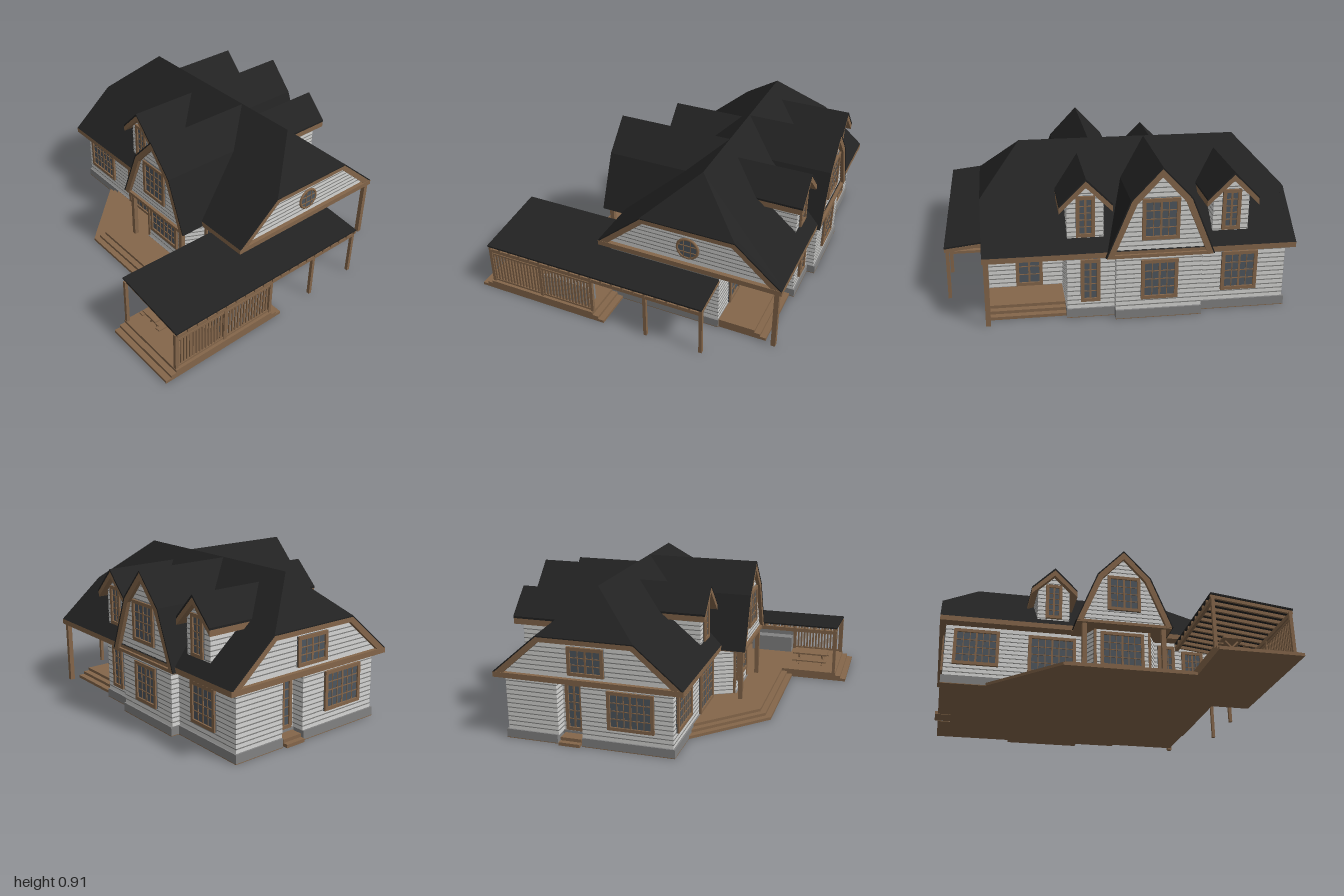
import * as THREE from 'three';
import { mergeGeometries } from 'three/addons/utils/BufferGeometryUtils.js';
import { ConvexGeometry } from 'three/addons/geometries/ConvexGeometry.js';

const material = (name, color) => Object.assign(new THREE.MeshStandardMaterial({ color }), { name });
const ROOF = material('roof black', 0x222222);
const WALL = material('siding white', 0xd6d6d4);
const GROOVE = material('siding groove grey', 0x858583);
const WOOD = material('wood brown', 0x84664a);
const GLASS = material('glass blue grey', 0x4e565e);
const STONE = material('foundation grey', 0x828282);
const RIDGE_Z = -0.355;

function add(parent, name, geometry, mat) {
  const mesh = new THREE.Mesh(geometry, mat);
  mesh.name = name;
  parent.add(mesh);
  return mesh;
}
// Box given by its minimum and maximum corners
function boxGeo(x0, x1, y0, y1, z0, z1) {
  return new THREE.BoxGeometry(x1 - x0, y1 - y0, z1 - z0).translate((x0 + x1) / 2, (y0 + y1) / 2, (z0 + z1) / 2);
}
const box = (parent, name, mat, ...b) => add(parent, name, boxGeo(...b), mat);
function group(parent, name, x, y, z, ry = 0) {
  const g = new THREE.Group();
  g.name = name;
  g.position.set(x, y, z);
  g.rotation.y = ry;
  parent.add(g);
  return g;
}
// Outline in x,y extruded from z0 to z1
function prismGeo(pts, z0, z1) {
  const shape = new THREE.Shape(pts.map(p => new THREE.Vector2(p[0], p[1])));
  return new THREE.ExtrudeGeometry(shape, { depth: z1 - z0, bevelEnabled: false }).translate(0, 0, z0);
}
// Plan outline in x,z extruded from y0 to y1
const slabGeo = (pts, y0, y1) => prismGeo(pts.map(([x, z]) => [x, -z]), y0, y1).rotateX(-Math.PI / 2);
// Half outline (top to bottom) mirrored to a full one
const mirror = half => [...half.map(([x, y]) => [-x, y]).reverse(), ...half];
const bandGeo = (outer, inner, z0, z1) => prismGeo([...mirror(outer), ...mirror(inner).reverse()], z0, z1);
const lerpHalf = (a, b, t) => a.map((p, i) => [p[0] + (b[i][0] - p[0]) * t, p[1] + (b[i][1] - p[1]) * t]);
// Half width of a mirrored outline at height y
function halfWidth(half, y) {
  for (let i = 1; i < half.length; i++) {
    const [x0, y0] = half[i - 1], [x1, y1] = half[i];
    if (y <= y0 && y >= y1) return x0 + (x1 - x0) * (y0 - y) / (y0 - y1 || 1);
  }
  return 0;
}

// Framed window or door facing +z with a grid of panes
function windowUnit(parent, name, x, y, z, w, h, cols, rows, ry = 0) {
  const g = group(parent, name, x, y, z, ry), f = 0.02, W = w / 2, H = h / 2;
  box(g, 'glass', GLASS, -W, W, -H, H, 0, 0.006);
  const bars = [];
  for (const s of [-1, 1]) {
    bars.push(new THREE.BoxGeometry(f, h, 0.016).translate(s * (W - f / 2), 0, 0.008));
    bars.push(new THREE.BoxGeometry(w, f, 0.016).translate(0, s * (H - f / 2), 0.008));
  }
  for (let i = 1; i < cols; i++) {
    const thick = i * 2 === cols ? 0.012 : 0.005;
    bars.push(new THREE.BoxGeometry(thick, h, 0.01).translate(-W + f + (w - 2 * f) * i / cols, 0, 0.005));
  }
  for (let j = 1; j < rows; j++) bars.push(new THREE.BoxGeometry(w, 0.005, 0.01).translate(0, -H + f + (h - 2 * f) * j / rows, 0.005));
  add(g, 'frame', mergeGeometries(bars), WOOD);
}

// Sided gable end facing +z with rake trim and roof skin overhang
function gableFace(g, outer, inner, z, over) {
  const skin = lerpHalf(outer, inner, 0.18), lines = [];
  add(g, 'gableSiding', prismGeo(mirror(lerpHalf(outer, inner, 0.6)), z, z + 0.004), WALL);
  for (let y = inner.at(-1)[1] + 0.028; y < inner[0][1] - 0.01; y += 0.028) {
    const w = halfWidth(inner, y);
    lines.push(boxGeo(-w, w, y, y + 0.006, z, z + 0.006));
  }
  add(g, 'sidingGrooves', mergeGeometries(lines), GROOVE);
  add(g, 'rakeTrim', bandGeo(skin, inner, z, z + over - 0.002), WOOD);
  add(g, 'roofEdge', bandGeo(outer, skin, z, z + over), ROOF);
}

// Projecting gambrel cross gable
function crossGable(house, name, x, ry, front) {
  const g = group(house, name, x, 0, RIDGE_Z, ry), wall = front - 0.03;
  const outer = [[0, 0.908], [0.172, 0.725], [0.308, 0.39]], inner = [[0, 0.85], [0.137, 0.7], [0.265, 0.39]];
  add(g, 'gableRoof', prismGeo(mirror(outer), 0, wall), ROOF);
  gableFace(g, outer, inner, wall, 0.03);
  box(g, 'gableSoffit', WOOD, -0.3, 0.3, 0.383, 0.402, 0.45, front - 0.006);
  windowUnit(g, 'gableWindow', 0, 0.605, wall + 0.004, 0.21, 0.24, 4, 4);
}

// Small dormer with pitched roof
function dormer(house, name, x, ry) {
  const g = group(house, name, x, 0, RIDGE_Z, ry), edge = 0.54, wall = 0.5;
  const outer = [[0, 0.842], [0.148, 0.692]], skin = [[0, 0.828], [0.148, 0.68]], inner = [[0, 0.79], [0.148, 0.645]];
  const body = [[0, 0.8], [0.102, 0.69], [0.102, 0.42]], lines = [];
  add(g, 'dormerWalls', prismGeo(mirror(body), 0.2, wall), WALL);
  for (let y = 0.49; y < 0.78; y += 0.028) {
    const w = halfWidth(body, y) + 0.002;
    lines.push(boxGeo(-w, w, y, y + 0.006, 0.2, wall + 0.002));
  }
  add(g, 'sidingGrooves', mergeGeometries(lines), GROOVE);
  add(g, 'dormerRoof', bandGeo(outer, skin, 0.05, edge), ROOF);
  add(g, 'dormerFascia', bandGeo(skin, inner, 0.12, edge - 0.002), WOOD);
  windowUnit(g, 'dormerWindow', 0, 0.612, wall, 0.105, 0.24, 2, 5);
}

function buildWalls(house) {
  const plan = [[-0.96, 0.15], [-0.115, 0.15], [-0.05, 0.28], [0.295, 0.28], [0.36, 0.15], [0.74, 0.15], [0.74, -0.55], [0.3, -0.55],
    [0.3, -0.87], [0.03, -0.87], [0.03, -0.92], [-0.46, -0.92], [-0.46, -0.87], [-0.96, -0.87], [-0.96, -0.55], [-0.88, -0.55], [-0.88, -0.4], [-0.96, -0.4]];
  const wide = plan.map(([x, z]) => [-0.11 + (x + 0.11) * 1.012, -0.36 + (z + 0.36) * 1.02]);
  add(house, 'basePlate', slabGeo(wide, 0, 0.004), WOOD);
  add(house, 'foundation', slabGeo(wide, 0.004, 0.055), STONE);
  add(house, 'walls', slabGeo(plan, 0.05, 0.395), WALL);
  const lines = [];
  plan.forEach(([x, z], i) => {
    const [x2, z2] = plan[(i + 1) % plan.length], len = Math.hypot(x2 - x, z2 - z);
    for (let y = 0.08; y < 0.385; y += 0.028) {
      lines.push(new THREE.BoxGeometry(len, 0.006, 0.004).rotateY(Math.atan2(z - z2, x2 - x)).translate((x + x2) / 2, y, (z + z2) / 2));
    }
  });
  add(house, 'sidingGrooves', mergeGeometries(lines), GROOVE);
  for (const x of [-0.05, 0.295]) box(house, 'bayCornerBoard', WOOD, x - 0.008, x + 0.008, 0.05, 0.39, 0.272, 0.286);
  // Windows and doors: x, y, z, width, height, columns, rows, turn
  const B = Math.PI, L = -Math.PI / 2;
  [['frontWindow', -0.77, 0.247, 0.15, 0.28, 0.235, 6, 4, 0], ['frontDoor', -0.3, 0.205, 0.15, 0.3, 0.305, 6, 5, 0],
    ['bayWindow', 0.12, 0.247, 0.28, 0.275, 0.235, 6, 4, 0], ['sideDoor', 0.437, 0.205, 0.15, 0.11, 0.305, 3, 5, 0],
    ['porchWindow', 0.61, 0.245, 0.15, 0.14, 0.17, 4, 3, 0], ['backWindow', -0.69, 0.24, -0.87, 0.21, 0.24, 4, 4, B],
    ['backBayWindow', -0.215, 0.24, -0.92, 0.21, 0.24, 4, 4, B], ['narrowBackWindow', 0.17, 0.23, -0.87, 0.11, 0.26, 2, 5, B],
    ['backDoor', 0.5, 0.21, -0.55, 0.16, 0.3, 2, 5, B], ['leftWindow', -0.96, 0.247, -0.1, 0.28, 0.235, 6, 4, L],
    ['leftDoor', -0.88, 0.21, -0.475, 0.11, 0.3, 2, 5, L]].forEach(w => windowUnit(house, ...w));
}

function buildRoof(house) {
  box(house, 'eaveFascia', WOOD, -1, 0.77, 0.388, 0.42, -0.93, 0.22);
  const pts = [];
  const at = (x, y, h) => [new THREE.Vector3(x, y, RIDGE_Z - h), new THREE.Vector3(x, y, RIDGE_Z + h)];
  for (const x of [-0.97, 0.74]) pts.push(...at(x, 0.42, 0.575), ...at(x, 0.692, 0.255));
  pts.push(new THREE.Vector3(-0.76, 0.91, RIDGE_Z), new THREE.Vector3(0.53, 0.91, RIDGE_Z));
  add(house, 'mainRoof', new ConvexGeometry(pts), ROOF);
  // Half-hipped ends
  for (const [x, s, name] of [[-0.97, -1, 'leftGable'], [0.74, 1, 'rightGable']]) {
    add(house, 'hipEdge', new ConvexGeometry([...at(x, 0.692, 0.255), ...at(x, 0.66, 0.293), ...at(x + s * 0.03, 0.66, 0.293)]), ROOF);
    const g = group(house, name, x, 0, RIDGE_Z, s * Math.PI / 2);
    gableFace(g, [[0.293, 0.66], [0.575, 0.42]], [[0.275, 0.625], [0.51, 0.42]], 0, 0.03);
    if (s < 0) windowUnit(g, 'gableWindow', 0, 0.525, 0.004, 0.22, 0.17, 4, 3);
    else {
      const w = group(g, 'roundWindow', 0, 0.52, 0.006);
      add(w, 'glass', new THREE.CylinderGeometry(0.064, 0.064, 0.008, 32).rotateX(Math.PI / 2), GLASS);
      add(w, 'frame', new THREE.TorusGeometry(0.064, 0.009, 8, 32), WOOD);
      for (const k of [-0.022, 0.022]) {
        box(w, 'muntin', WOOD, k - 0.0025, k + 0.0025, -0.06, 0.06, 0, 0.008);
        box(w, 'muntin', WOOD, -0.06, 0.06, k - 0.0025, k + 0.0025, 0, 0.008);
      }
    }
  }
  crossGable(house, 'frontGable', 0.12, 0, 0.73);
  crossGable(house, 'backGable', -0.215, Math.PI, 0.595);
  dormer(house, 'frontDormer', -0.295, 0);
  for (const x of [-0.63, 0.195]) dormer(house, 'backDormer', x, Math.PI);
}

function buildDecks(house) {
  for (let k = 0; k < 3; k++) {
    const d = k * 0.036, y0 = k * 0.018, y1 = y0 + 0.018;
    add(house, 'terraceStep', slabGeo([[-0.71 + 1.414 * d, 0.15], [-0.29 + 0.414 * d, 0.57 - d], [0.5, 0.57 - d], [0.5, 0.15]], y0, y1), WOOD);
    box(house, 'pergolaDeckStep', WOOD, 0.5, 0.995, y0, y1, 0.08 + d, 0.945 - d);
    box(house, 'backPorchStep', WOOD, 0.3, 0.74, y0, y1, -0.85 + d, -0.55);
  }
  box(house, 'leftDoorStep', WOOD, -0.96, -0.88, 0, 0.04, -0.54, -0.41);
  box(house, 'leftLowerStep', WOOD, -0.99, -0.96, 0, 0.02, -0.54, -0.41);
  for (const x of [-0.13, 0.37]) box(house, 'gablePost', WOOD, x - 0.014, x + 0.014, 0.05, 0.39, 0.325, 0.353);
  box(house, 'backPorchPost', WOOD, 0.735, 0.763, 0, 0.39, -0.915, -0.887);
}

function buildPergola(house) {
  const g = group(house, 'pergola', 0, 0, 0);
  const top = x => 0.387 - (x - 0.5) * 0.116;
  // Sloped strip lying a given depth below the roof plane
  const strip = (name, mat, x0, d0, d1, z0, z1) => add(g, name,
    prismGeo([[x0, top(x0) - d0], [0.993, top(0.993) - d0], [0.993, top(0.993) - d1], [x0, top(x0) - d1]], z0, z1), mat);
  strip('pergolaRoof', ROOF, 0.5, 0, 0.01, 0.15, 0.87);
  strip('pergolaRoof', ROOF, 0.74, 0, 0.01, -0.55, 0.15);
  for (let i = 0; i <= 20; i++) {
    const z = 0.855 - i * 0.07;
    strip('rafter', WOOD, z > 0.15 ? 0.5 : 0.74, 0.01, 0.03, z - 0.007, z + 0.007);
  }
  box(g, 'outerBeam', WOOD, 0.965, 0.985, 0.278, 0.302, -0.55, 0.87);
  box(g, 'innerBeam', WOOD, 0.502, 0.522, 0.335, 0.36, 0.15, 0.868);
  for (const z of [0.86, 0.51, 0.16, -0.19, -0.54]) box(g, 'post', WOOD, 0.965, 0.985, z > 0.1 ? 0.05 : 0, 0.31, z - 0.01, z + 0.01);
  box(g, 'innerPost', WOOD, 0.502, 0.522, 0.05, 0.36, 0.85, 0.87);
  // Slatted fence
  const slats = [boxGeo(0.968, 0.982, 0.06, 0.072, 0.16, 0.86), boxGeo(0.968, 0.982, 0.258, 0.27, 0.16, 0.86)];
  for (let z = 0.18; z < 0.85; z += 0.022) slats.push(boxGeo(0.971, 0.979, 0.06, 0.265, z, z + 0.012));
  add(g, 'slatFence', mergeGeometries(slats), WOOD);
  // Outdoor grill
  box(g, 'grillCounter', STONE, 0.87, 0.962, 0.054, 0.165, 0.2, 0.5);
  box(g, 'grillBack', STONE, 0.945, 0.964, 0.165, 0.205, 0.2, 0.5);
  // Picnic table with crossed legs and benches
  const t = group(g, 'picnicTable', 0.645, 0.054, 0.68);
  box(t, 'tableTop', WOOD, -0.06, 0.06, 0.088, 0.098, -0.12, 0.12);
  for (const s of [-1, 1]) {
    box(t, 'bench', WOOD, s * 0.08 - 0.016, s * 0.08 + 0.016, 0.048, 0.056, -0.12, 0.12);
    box(t, 'crossBar', WOOD, -0.09, 0.09, 0.04, 0.048, s * 0.09 - 0.004, s * 0.09 + 0.004);
    for (const k of [-1, 1]) {
      const leg = box(t, 'leg', WOOD, -0.005, 0.005, -0.055, 0.055, -0.004, 0.004);
      leg.position.set(0, 0.046, s * 0.082);
      leg.rotation.z = k * 0.75;
    }
  }
}

export function createModel() {
  const house = new THREE.Group();
  house.name = 'house';
  buildWalls(house);
  buildRoof(house);
  buildDecks(house);
  buildPergola(house);
  return house;
}
